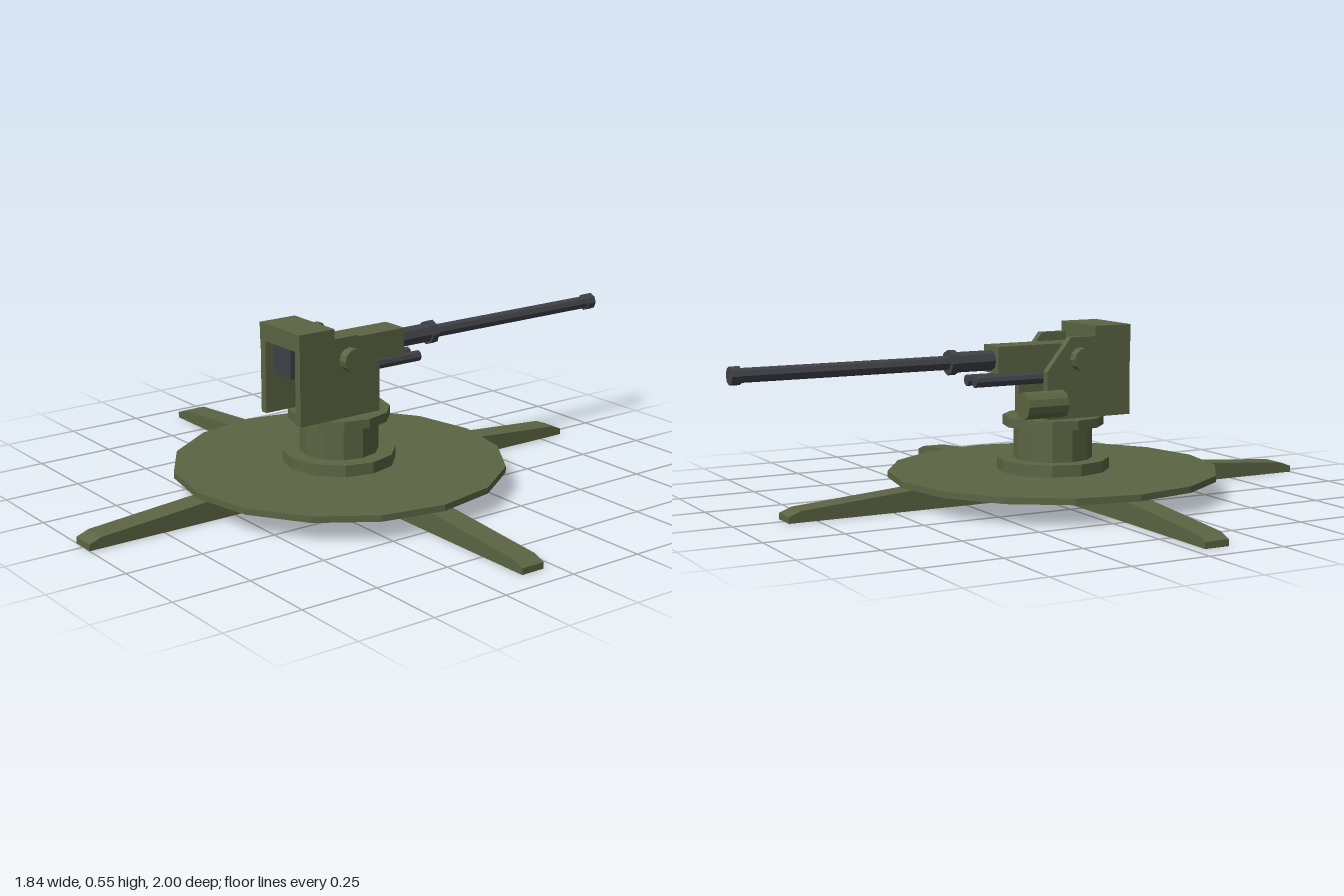
import * as THREE from 'three';

const green = new THREE.MeshStandardMaterial({ color: 0x5b6443, flatShading: true });
const dark = new THREE.MeshStandardMaterial({ color: 0x3f4147, flatShading: true });

const PIVOT_Z = 0.08; // centre of the turntable
const BORE_Y = 0.445; // height of the barrel axis

export function createModel() {
  const model = new THREE.Group();
  model.name = 'fieldGun';

  const add = (name, geometry, material, parent = model) => {
    const mesh = new THREE.Mesh(geometry, material);
    mesh.name = name;
    parent.add(mesh);
    return mesh;
  };
  // Upright cylinder on the turntable axis, between two heights
  const drum = (name, r, y0, y1, sides) =>
    add(name, new THREE.CylinderGeometry(r, r, y1 - y0, sides), green)
      .position.set(0, (y0 + y1) / 2, PIVOT_Z);
  // Cylinder lying along z, between two depths
  const rod = (name, r, x, y, z0, z1, material, sides = 8) =>
    add(name, new THREE.CylinderGeometry(r, r, z1 - z0, sides).rotateX(Math.PI / 2), material)
      .position.set(x, y, (z0 + z1) / 2);
  // Box between two depths, centred on x
  const block = (name, w, y0, y1, z0, z1, material) =>
    add(name, new THREE.BoxGeometry(w, y1 - y0, z1 - z0), material)
      .position.set(0, (y0 + y1) / 2, (z0 + z1) / 2);
  // Extruded outline, centred on its thickness
  const slab = (points, thickness) =>
    new THREE.ExtrudeGeometry(
      new THREE.Shape(points.map(([x, y]) => new THREE.Vector2(x, y))),
      { depth: thickness, bevelEnabled: false }
    ).translate(0, 0, -thickness / 2);

  // Four tapered outrigger legs
  const legs = new THREE.Group();
  legs.name = 'outriggers';
  legs.position.z = PIVOT_Z;
  model.add(legs);
  const legGeometry = slab(
    [[0.08, 0], [0.92, 0], [0.92, 0.02], [0.88, 0.035], [0.5, 0.065], [0.08, 0.065]], 0.08);
  for (let i = 0; i < 4; i++) {
    add('outriggerLeg', legGeometry, green, legs).rotation.y = i * Math.PI / 2;
  }

  // Platform and pedestal
  drum('platform', 0.53, 0.065, 0.085, 16);
  drum('pedestalBase', 0.18, 0.085, 0.122, 12);
  drum('pedestalColumn', 0.126, 0.122, 0.228, 12);
  drum('turntable', 0.162, 0.228, 0.258, 12);

  // Cradle: side plates, trunnion caps and rear bridge
  const plateGeometry = slab(
    [[0, 0.258], [0.302, 0.258], [0.302, 0.515], [0.085, 0.515], [0, 0.41]], 0.026)
    .rotateY(-Math.PI / 2);
  for (const side of [-1, 1]) {
    add('sidePlate', plateGeometry, green).position.x = side * 0.093;
    add('trunnionCap', new THREE.CylinderGeometry(0.037, 0.037, 0.035, 12).rotateZ(Math.PI / 2), green)
      .position.set(side * 0.12, BORE_Y, 0.118);
  }
  block('rearBridge', 0.213, 0.492, 0.547, 0.173, 0.304, green);

  // Receiver and breech
  block('receiver', 0.096, 0.405, 0.491, -0.142, 0.2, green);
  block('breech', 0.092, 0.394, 0.49, 0.18, 0.295, dark);

  // Barrel with sleeve, collar and muzzle ring
  rod('barrelSleeve', 0.032, 0, BORE_Y, -0.28, -0.13, dark);
  rod('barrelCollar', 0.039, 0, BORE_Y, -0.295, -0.27, dark);
  rod('barrel', 0.022, 0, BORE_Y, -0.99, -0.28, dark);
  rod('muzzleRing', 0.028, 0, BORE_Y, -1, -0.968, dark);

  // Twin recoil cylinders under the receiver
  for (const side of [-1, 1]) {
    rod('recoilCylinder', 0.018, side * 0.027, 0.383, -0.216, 0.1, dark);
  }

  // Elevation motor on the right side plate
  rod('elevationMotor', 0.043, -0.147, 0.315, -0.11, 0.03, green, 12);

  return model;
}
